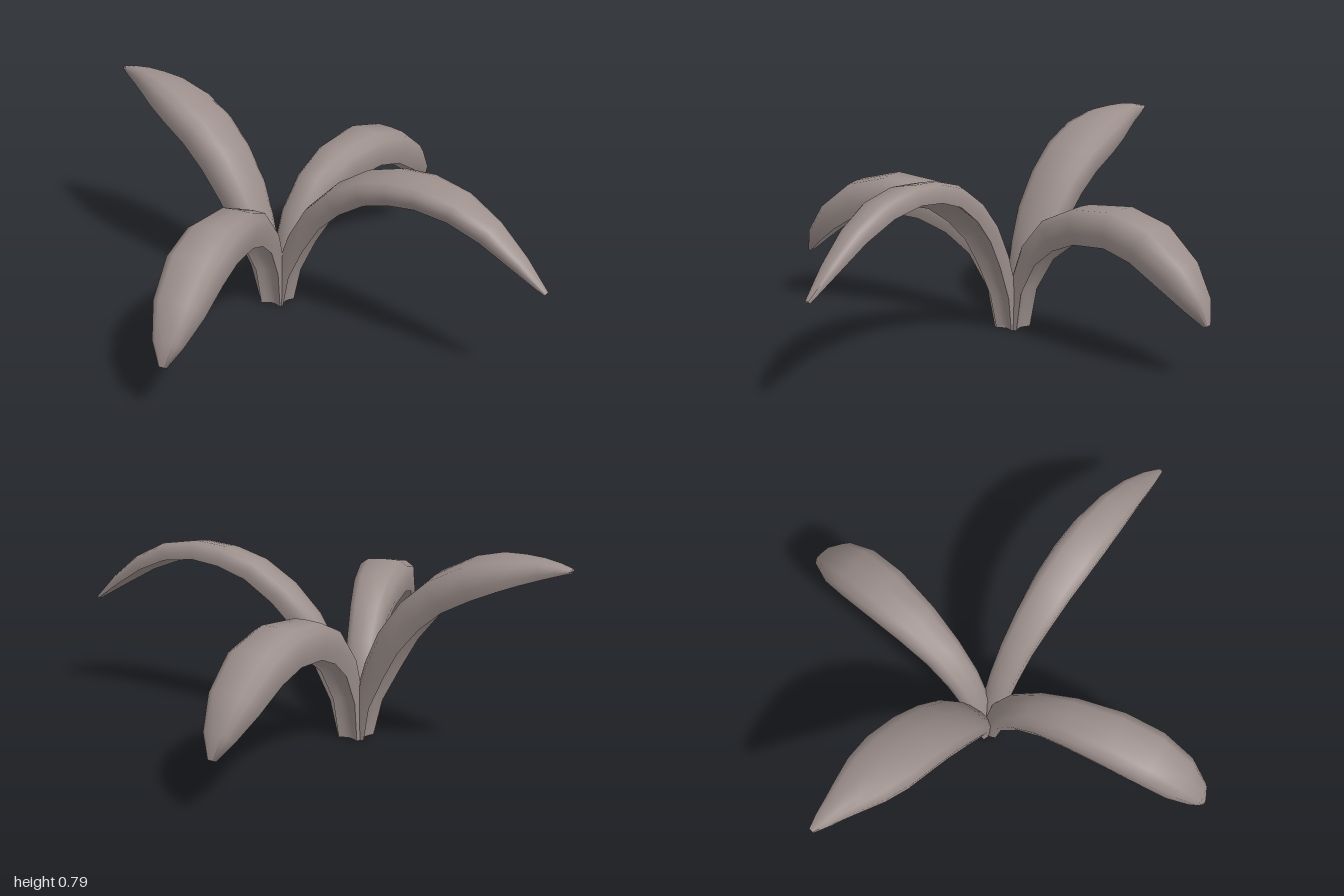
import * as THREE from 'three';
import { toCreasedNormals } from 'three/addons/utils/BufferGeometryUtils.js';

// Leaf cross-section: [side, up], flat top, rounded shoulders and a hollow underside
const HALF = [[0.6, 0.48], [0.92, 0.3], [1, -0.15], [0.9, -0.5], [0.45, -0.3]];
const SECTION = [[0, 0.5], ...HALF, [0, -0.2], ...HALF.slice().reverse().map(([s, u]) => [-s, u])];

// Sweep the section along rings of [distance, height, width, thickness],
// rolling it gradually up to the angle twist
function leafGeometry(rings, twist) {
  const pos = [], index = [], n = SECTION.length, last = rings.length - 1;
  rings.forEach(([d, y, w, t], i) => {
    const a = rings[Math.max(i - 1, 0)], b = rings[Math.min(i + 1, last)];
    const dir = i === 0 ? new THREE.Vector2(0, 1) : new THREE.Vector2(b[0] - a[0], b[1] - a[1]).normalize();
    const roll = twist * Math.min(1, 2 * i / last);
    for (const [s, u] of SECTION) {
      const p = new THREE.Vector2(s * w / 2, u * t).rotateAround(new THREE.Vector2(), roll);
      pos.push(d - dir.y * p.y, y + dir.x * p.y, p.x);
    }
  });
  for (let i = 0; i < last; i++) {
    for (let j = 0; j < n; j++) {
      const a = i * n + j, b = i * n + (j + 1) % n;
      index.push(a, b, a + n, b, b + n, a + n);
    }
  }
  // Caps at the base and the tip
  const c = pos.length / 3;
  for (const r of [rings[0], rings[last]]) pos.push(r[0], r[1], 0);
  for (let j = 0; j < n; j++) {
    const k = (j + 1) % n;
    index.push(c, k, j, c + 1, last * n + j, last * n + k);
  }
  const g = new THREE.BufferGeometry();
  g.setAttribute('position', new THREE.Float32BufferAttribute(pos, 3));
  g.setIndex(index);
  return toCreasedNormals(g, 1.2);
}

// Short drooping leaf, used at the front and the back
const DROOPING = [
  [0.03, 0, 0.09, 0.055], [0.05, 0.17, 0.105, 0.075], [0.12, 0.32, 0.125, 0.1],
  [0.22, 0.42, 0.147, 0.125], [0.35, 0.48, 0.18, 0.13], [0.52, 0.5, 0.21, 0.13],
  [0.66, 0.465, 0.212, 0.13], [0.785, 0.375, 0.18, 0.11], [0.87, 0.28, 0.105, 0.07],
  [0.908, 0.21, 0.03, 0.015],
];

// Tall leaf that levels out at the tip
const UPRIGHT = [
  [0.03, 0, 0.085, 0.055], [0.05, 0.15, 0.12, 0.075], [0.11, 0.3, 0.165, 0.1],
  [0.17, 0.42, 0.2, 0.11], [0.26, 0.54, 0.22, 0.12], [0.36, 0.63, 0.235, 0.12],
  [0.48, 0.695, 0.235, 0.115], [0.58, 0.73, 0.2, 0.1], [0.66, 0.747, 0.145, 0.08],
  [0.73, 0.758, 0.095, 0.06], [0.79, 0.763, 0.06, 0.035], [0.84, 0.764, 0.02, 0.012],
];

// Long narrow leaf
const ARCHING = [
  [0.03, 0, 0.08, 0.055], [0.055, 0.15, 0.095, 0.07], [0.12, 0.3, 0.11, 0.085],
  [0.2, 0.43, 0.125, 0.09], [0.3, 0.53, 0.145, 0.09], [0.42, 0.608, 0.16, 0.085],
  [0.54, 0.645, 0.168, 0.08], [0.66, 0.657, 0.165, 0.075], [0.8, 0.635, 0.145, 0.07],
  [0.93, 0.575, 0.11, 0.06], [1.05, 0.49, 0.07, 0.04], [1.155, 0.405, 0.02, 0.012],
];

export function createModel() {
  const group = new THREE.Group();
  group.name = 'plant';
  const material = new THREE.MeshStandardMaterial({ color: 0x9c8f8c });
  const hub = { x: -0.16, z: 0.018 };

  // Each leaf points from the hub towards its tip [x, z] and is rolled by twist
  const leaves = [
    ['frontLeaf', DROOPING, [0.14, 0.89], 0],
    ['backLeaf', DROOPING, [-0.16, -0.9], 0],
    ['rightLeaf', UPRIGHT, [-1, 0.025], -0.12],
    ['leftLeaf', ARCHING, [0.99, -0.115], -0.2],
  ];
  for (const [name, rings, [x, z], twist] of leaves) {
    const leaf = new THREE.Mesh(leafGeometry(rings, twist), material);
    leaf.name = name;
    leaf.position.set(hub.x, 0, hub.z);
    leaf.rotation.y = Math.atan2(hub.z - z, x - hub.x);
    group.add(leaf);
  }
  return group;
}
